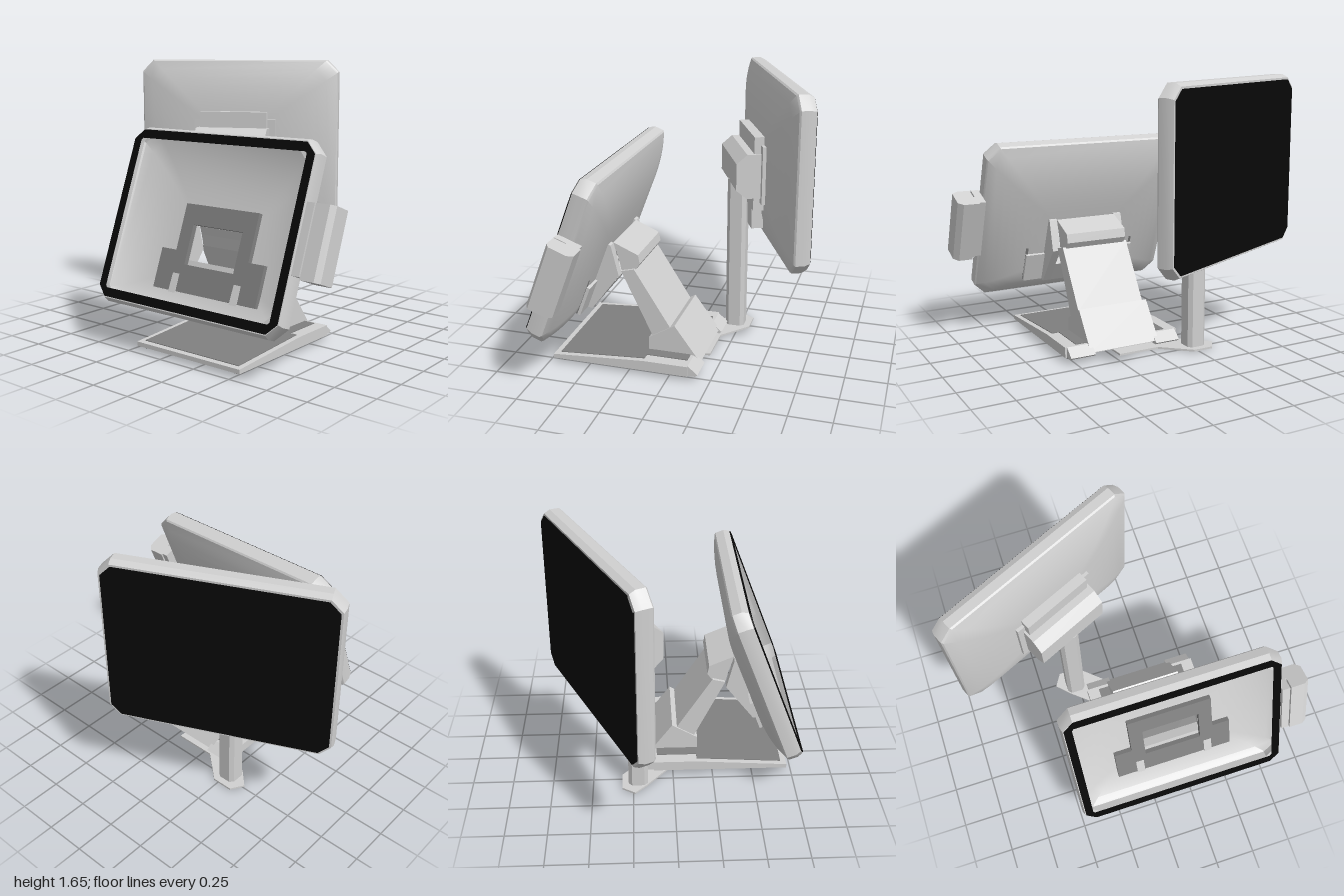
import * as THREE from 'three';
import { toCreasedNormals } from 'three/addons/utils/BufferGeometryUtils.js';

const mat = (name, color, side = THREE.FrontSide) => {
  const m = new THREE.MeshStandardMaterial({ color, side });
  m.name = name;
  return m;
};

export function createModel() {
  const light = mat('light grey', 0xd0d0d0, THREE.DoubleSide);
  const dark = mat('dark grey', 0x808080);
  const black = mat('black', 0x080808);
  const root = new THREE.Group();
  root.name = 'counterTerminal';

  const add = (parent, name, geo, m, x = 0, y = 0, z = 0) => {
    const mesh = new THREE.Mesh(geo, m);
    mesh.name = name;
    mesh.position.set(x, y, z);
    parent.add(mesh);
    return mesh;
  };
  const group = (name) => {
    const g = new THREE.Group();
    g.name = name;
    root.add(g);
    return g;
  };
  const shapeOf = (pts) => new THREE.Shape(pts.map(([a, b]) => new THREE.Vector2(a, b)));
  const extrude = (shape, depth) => new THREE.ExtrudeGeometry(shape, { depth, bevelEnabled: false });
  // side profile given as (z, y), extruded along x and centred
  const sideProfile = (pts, width) =>
    extrude(shapeOf(pts), width).rotateY(-Math.PI / 2).translate(width / 2, 0, 0);
  // plan outline given as (x, z), extruded upwards
  const planProfile = (pts, height) =>
    extrude(shapeOf(pts.map(([x, z]) => [x, -z])), height).rotateX(-Math.PI / 2);
  const box = (parent, name, m, x0, x1, y0, y1, z0, z1) =>
    add(parent, name, new THREE.BoxGeometry(x1 - x0, y1 - y0, z1 - z0), m,
      (x0 + x1) / 2, (y0 + y1) / 2, (z0 + z1) / 2);
  // rectangle with cut corners
  const cutRect = (w, h, c) => [
    [w, -h + c], [w, h - c], [w - c, h], [-w + c, h],
    [-w, h - c], [-w, -h + c], [-w + c, -h], [w - c, -h],
  ];

  // Display shell: cut-corner rings, straight rim then a domed back ending at a hole
  const shellGeometry = (holeW, holeH, holeY) => {
    const rings = [
      [0.6, 0.457, 0.05, 0, 0], [0.65, 0.512, 0.065, 0, 0],
      [0.66, 0.53, 0.075, 0, -0.035], [0.66, 0.53, 0.075, 0, -0.09],
    ];
    const steps = 10;
    for (let i = 0; i <= steps; i++) {
      const s = 1 - i / steps;
      rings.push([
        THREE.MathUtils.lerp(holeW, 0.652, s), THREE.MathUtils.lerp(holeH, 0.522, s),
        0.075 * s, holeY * (1 - s), -0.1 - 0.09 * (1 - s ** 3),
      ]);
    }
    const pos = [], idx = [];
    rings.forEach(([w, h, c, cy, z], i) => {
      cutRect(w, h, c).forEach(([x, y]) => pos.push(x, y + cy, z));
      if (i === 0) return;
      for (let k = 0; k < 8; k++) {
        const a = (i - 1) * 8 + k, b = (i - 1) * 8 + (k + 1) % 8;
        idx.push(a, a + 8, b, b, a + 8, b + 8);
      }
    });
    const g = new THREE.BufferGeometry();
    g.setAttribute('position', new THREE.Float32BufferAttribute(pos, 3));
    g.setIndex(idx);
    return toCreasedNormals(g, 0.45);
  };

  // ---- Main display, tilted back, open at the front ----
  const main = group('mainDisplay');
  main.position.set(0.17, 0.775, 0.59);
  main.rotation.x = -0.363;
  add(main, 'mainShell', shellGeometry(0.18, 0.117, -0.112), light);
  const bezel = shapeOf(cutRect(0.645, 0.506, 0.06));
  bezel.holes.push(shapeOf(cutRect(0.598, 0.455, 0.012)));
  add(main, 'bezel', extrude(bezel, 0.006), black);

  // stepped mounting bracket with a window
  const bracket = shapeOf([
    [-0.375, -0.39], [0.375, -0.39], [0.375, -0.155], [0.265, -0.155],
    [0.265, 0.123], [-0.265, 0.123], [-0.265, -0.155], [-0.375, -0.155],
  ]);
  bracket.holes.push(shapeOf([[-0.18, -0.23], [0.18, -0.23], [0.18, 0.005], [-0.18, 0.005]]));
  add(main, 'mountBracket', extrude(bracket, 0.03), dark, 0, 0, -0.185);

  // rear housing: two cheeks and a lower block
  for (const s of [-1, 1]) {
    add(main, 'housingCheek', sideProfile([
      [-0.17, 0.05], [-0.205, 0.05], [-0.24, 0], [-0.315, -0.11],
      [-0.233, -0.388], [-0.15, -0.4],
    ], 0.05), light, s * 0.225);
  }
  add(main, 'housingLower', sideProfile([
    [-0.186, -0.24], [-0.275, -0.24], [-0.233, -0.388], [-0.186, -0.388],
  ], 0.5), light);
  box(main, 'housingFoot', light, -0.375, 0.375, -0.39, -0.2, -0.205, -0.186);

  // card reader on the side: inner wall, spine and outer body
  box(main, 'readerWall', light, 0.66, 0.708, -0.19, 0.195, -0.15, 0);
  box(main, 'readerSpine', light, 0.7, 0.73, -0.19, 0.195, -0.16, -0.075);
  add(main, 'readerBody', planProfile([
    [0.716, 0], [0.8, 0], [0.83, -0.02], [0.83, -0.13], [0.8, -0.16], [0.716, -0.16],
  ], 0.4), light, 0, -0.205, 0);

  // ---- Stand ----
  const stand = group('stand');
  stand.position.x = 0.17;
  add(stand, 'basePlate', sideProfile([
    [0.72, 0.03], [0.72, 0.055], [0.15, 0.093], [-0.12, 0.093], [-0.12, 0.03],
  ], 0.755), light);
  for (const s of [-1, 1]) {
    add(stand, 'baseEar', sideProfile([
      [-0.12, 0.093], [-0.18, 0.042], [-0.165, 0.03], [-0.12, 0.03],
    ], 0.16), light, s * 0.285);
    for (const z of [0.665, -0.09]) {
      add(stand, 'rubberFoot', new THREE.CylinderGeometry(0.027, 0.027, 0.016, 20), dark,
        s * 0.33, 0.023, z);
    }
  }
  add(stand, 'baseMat', sideProfile([
    [0.685, 0.057], [0.685, 0.061], [0.15, 0.097], [0.15, 0.09],
  ], 0.69), dark);
  add(stand, 'baseMatRear', sideProfile([
    [0.15, 0.09], [0.15, 0.097], [-0.1, 0.097], [-0.1, 0.09],
  ], 0.6), dark);
  add(stand, 'armFoot', sideProfile([
    [0.16, 0.09], [0.16, 0.175], [0, 0.27], [-0.16, 0.05], [-0.12, 0.05],
  ], 0.46), light);
  add(stand, 'arm', sideProfile([
    [0.33, 0.58], [0.25, 0.6], [0.03, 0.25], [0.14, 0.185],
  ], 0.44), light);
  add(stand, 'hinge', sideProfile([
    [0.38, 0.75], [0.23, 0.685], [0.22, 0.63], [0.25, 0.585], [0.335, 0.58], [0.35, 0.65],
  ], 0.4), light);

  // ---- Pole with its foot plate ----
  const pole = group('pole');
  add(pole, 'poleFoot', planProfile([
    [-0.4, -0.24], [-0.35, -0.32], [-0.22, -0.32], [-0.05, -0.17], [0.21, -0.17],
    [0.21, -0.01], [-0.14, -0.01], [-0.32, -0.16],
  ], 0.012), light);
  add(pole, 'poleShaft', planProfile(cutRect(0.06, 0.06, 0.022), 1.0), light, -0.27, 0.01, -0.22);

  // ---- Second display, upright, facing away ----
  const rear = group('rearDisplay');
  rear.position.set(-0.393, 1.122, -0.484);
  rear.rotation.y = Math.PI + 0.433;
  add(rear, 'rearShell', shellGeometry(0.001, 0.001, 0), light);
  add(rear, 'rearScreen', extrude(shapeOf(cutRect(0.638, 0.5, 0.06)), 0.006), black);
  box(rear, 'rearPlate', light, -0.27, 0.27, -0.21, 0.15, -0.205, -0.14);
  box(rear, 'rearBracket', light, -0.22, 0.22, -0.26, 0.2, -0.245, -0.18);
  box(rear, 'rearBracketLower', light, -0.14, 0.14, -0.405, -0.26, -0.235, -0.16);
  add(rear, 'poleHead', sideProfile([
    [-0.2, 0.098], [-0.29, 0.098], [-0.355, 0.043], [-0.355, -0.122],
    [-0.29, -0.177], [-0.2, -0.177],
  ], 0.47), light);

  return root;
}
